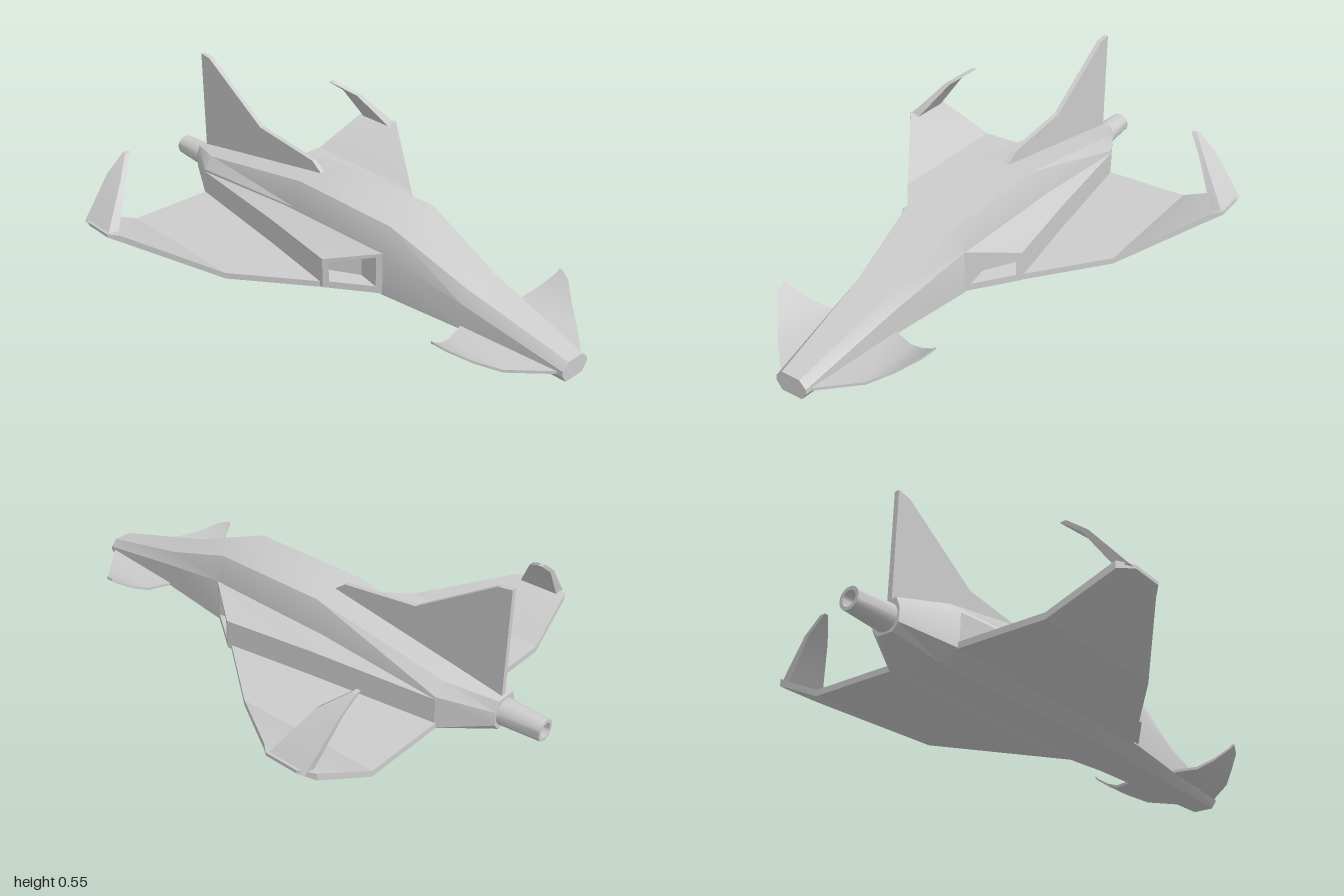
import * as THREE from 'three';
import { toCreasedNormals } from 'three/addons/utils/BufferGeometryUtils.js';

const material = new THREE.MeshStandardMaterial({ color: 0xcccccc });

// Closed skin through rings of equal point count, capped at both ends and wound outward.
function loft(rings) {
  const n = rings[0].length, tris = [];
  for (let r = 0; r < rings.length - 1; r++) {
    for (let i = 0; i < n; i++) {
      const j = (i + 1) % n;
      const a = rings[r][i], b = rings[r][j], c = rings[r + 1][j], d = rings[r + 1][i];
      tris.push([a, b, c], [a, c, d]);
    }
  }
  const first = rings[0], last = rings[rings.length - 1];
  for (let i = 1; i < n - 1; i++) {
    tris.push([first[0], first[i + 1], first[i]], [last[0], last[i], last[i + 1]]);
  }
  let volume = 0;
  const [a, b, c] = [0, 0, 0].map(() => new THREE.Vector3());
  for (const t of tris) volume += a.fromArray(t[0]).dot(b.fromArray(t[1]).cross(c.fromArray(t[2])));
  if (volume < 0) tris.forEach((t) => t.reverse());
  const geometry = new THREE.BufferGeometry();
  geometry.setAttribute('position', new THREE.Float32BufferAttribute(tris.flat(2), 3));
  return toCreasedNormals(geometry, 0.4);
}

// Rings of a thin plate; each station is [x, y, zLeading, zTrailing, dx, dy].
const plate = (stations) => stations.map(([x, y, zl, zt, dx, dy]) => [
  [x, y, zl], [x, y, zt], [x + dx, y + dy, zt], [x + dx, y + dy, zl],
]);

const mirrored = (rings, side) => rings.map((ring) => ring.map(([x, y, z]) => [x * side, y, z]));

export function createModel() {
  const model = new THREE.Group();
  const add = (name, geometry) => {
    const mesh = new THREE.Mesh(geometry, material);
    mesh.name = name;
    model.add(mesh);
    return mesh;
  };

  // Fuselage: z, then half widths and heights of deck, shoulder, lower side, keel
  const sections = [
    [1, [0.035, 0.07], [0.06, 0.045], [0.06, 0.028], [0.04, 0]],
    [0.61, [0.068, 0.167], [0.092, 0.12], [0.095, 0.03], [0.06, 0]],
    [0.3, [0.105, 0.28], [0.137, 0.19], [0.137, 0.03], [0.075, 0]],
    [-0.15, [0.105, 0.28], [0.14, 0.19], [0.14, 0.03], [0.075, 0]],
    [-0.68, [0.1, 0.19], [0.14, 0.15], [0.14, 0.03], [0.07, 0]],
    [-0.85, [0.038, 0.16], [0.053, 0.125], [0.052, 0.075], [0.03, 0.05]],
  ];
  add('fuselage', loft(sections.map(([z, ...half]) => [
    ...half.map(([x, y]) => [x, y, z]),
    ...half.map(([x, y]) => [-x, y, z]).reverse(),
  ])));

  // Air intake pod with a recessed mouth, swept along the wing leading edge
  const sweep = (x) => 0.3 - (x - 0.137) * 1.39;
  const podRing = (x0, x1, z0, z1, low, highOut, highIn) => [
    [x0, low, z0], [x1, low, z1], [x1, highOut, z1], [x0, highIn, z0],
  ];
  const intake = [
    podRing(0.1, 0.14, -0.68, -0.68, 0.04, 0.14, 0.15),
    podRing(0.1, 0.205, -0.2, -0.2, 0.035, 0.145, 0.2),
    podRing(0.13, 0.257, sweep(0.13), sweep(0.257), 0.035, 0.145, 0.192),
    podRing(0.15, 0.244, sweep(0.15), sweep(0.244), 0.06, 0.135, 0.172),
    podRing(0.14, 0.215, sweep(0.15) - 0.08, sweep(0.244) - 0.08, 0.065, 0.13, 0.165),
  ];

  // Main wing with upturned outer panel and clipped tip
  const wing = plate([
    [0.09, 0.028, 0.33, -0.685, 0, 0.022],
    [0.457, 0.028, -0.145, -0.685, 0, 0.022],
    [0.675, 0.132, -0.445, -0.655, 0, 0.025],
    [0.705, 0.147, -0.48, -0.6, 0, 0.012],
  ]);

  // Winglet leaning inward from the wing tip
  const winglet = plate([
    [0.703, 0.15, -0.48, -0.63, -0.045, 0.003],
    [0.582, 0.292, -0.565, -0.65, -0.022, 0],
    [0.508, 0.348, -0.64, -0.655, -0.022, 0],
  ]);

  // Nose foreplane curling upward
  const foreplane = plate([
    [0.05, 0.028, 0.99, 0.6, 0, 0.01],
    [0.18, 0.033, 0.868, 0.643, 0, 0.01],
    [0.24, 0.06, 0.8, 0.664, 0, 0.009],
    [0.295, 0.097, 0.74, 0.685, 0, 0.008],
    [0.312, 0.112, 0.7, 0.69, 0, 0.008],
  ]);

  for (const [label, side] of [['left', 1], ['right', -1]]) {
    add(label + 'Intake', loft(mirrored(intake, side)));
    add(label + 'Wing', loft(mirrored(wing, side)));
    add(label + 'Winglet', loft(mirrored(winglet, side)));
    add(label + 'Foreplane', loft(mirrored(foreplane, side)));
  }

  // Tail fin, drawn in the z-y plane
  const outline = [
    [-0.15, 0.26], [-0.15, 0.28], [-0.195, 0.313], [-0.49, 0.348],
    [-0.79, 0.54], [-0.84, 0.547], [-0.84, 0.13],
  ].map(([z, y]) => new THREE.Vector2(-z, y));
  const fin = new THREE.ExtrudeGeometry(new THREE.Shape(outline), { depth: 0.018, bevelEnabled: false });
  fin.translate(0, 0, -0.009).rotateY(Math.PI / 2);
  add('tailFin', fin);

  // Exhaust nozzle: tapered hollow tube
  const profile = [
    [0, -0.01], [0.048, -0.01], [0.038, 0.16], [0.026, 0.16], [0.026, 0.09], [0, 0.09],
  ].map(([r, h]) => new THREE.Vector2(r, h));
  const nozzle = toCreasedNormals(new THREE.LatheGeometry(profile, 24), 0.6);
  nozzle.rotateX(-Math.PI / 2).translate(0, 0.103, -0.84);
  add('exhaustNozzle', nozzle);

  return model;
}
